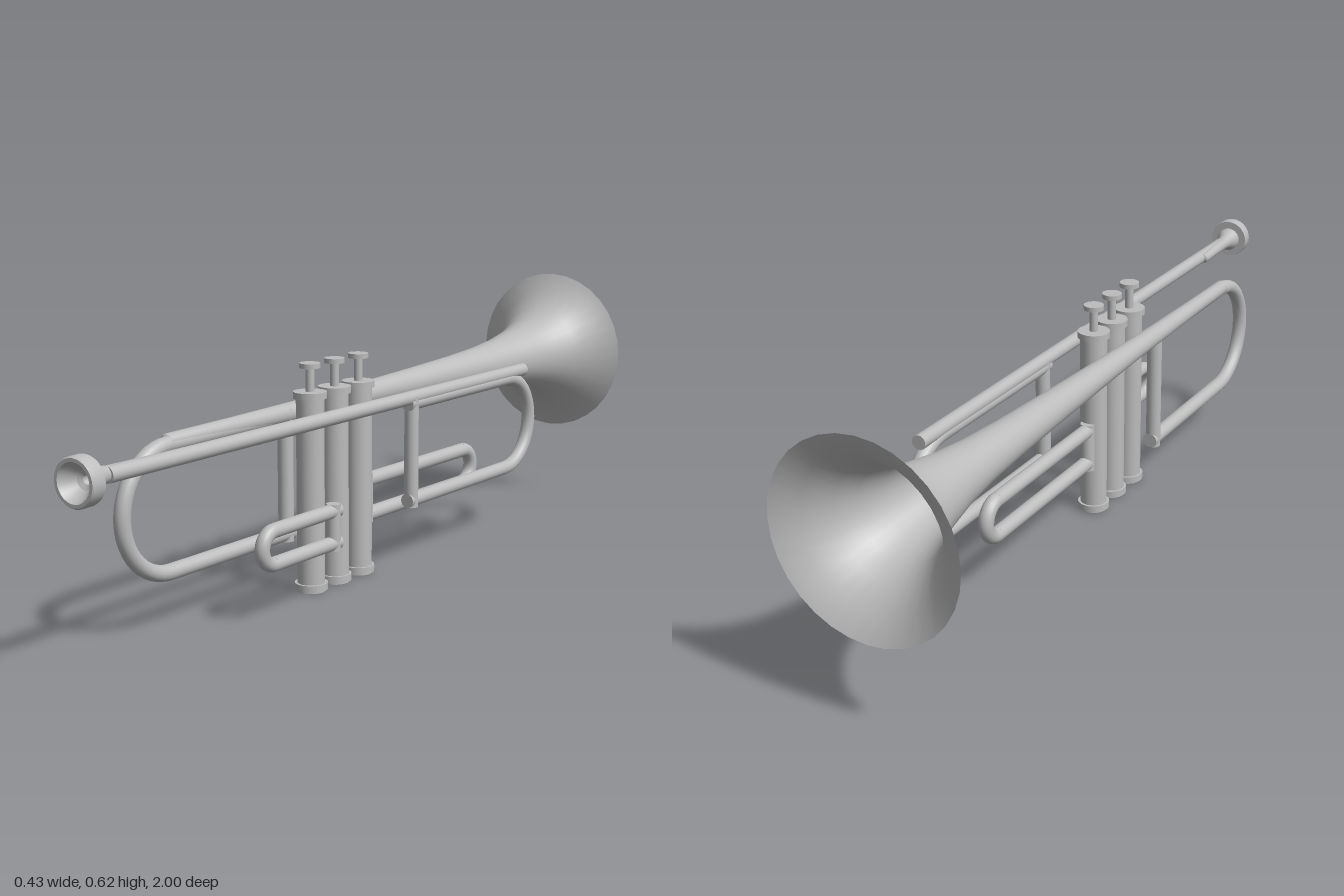
import * as THREE from 'three';

const silver = new THREE.MeshStandardMaterial({ color: 0xbcbcbc, side: THREE.DoubleSide });
silver.name = 'silver';

const TILT = -0.067; // the body is turned slightly about the vertical

function add(parent, name, geometry, x = 0, y = 0, z = 0) {
  const mesh = new THREE.Mesh(geometry, silver);
  mesh.name = name;
  mesh.position.set(x, y, z);
  parent.add(mesh);
  return mesh;
}

// straight tube along z
function tubeZ(parent, name, x, y, z0, z1, r) {
  const g = new THREE.CylinderGeometry(r, r, Math.abs(z1 - z0), 20).rotateX(Math.PI / 2);
  return add(parent, name, g, x, y, (z0 + z1) / 2);
}

// slide: two straight tubes, a half-round bend at one end, an upright at the other
function slide(parent, name, x, yLow, yHigh, zUpright, zBend, r) {
  const group = new THREE.Group();
  group.name = name;
  const mid = (yLow + yHigh) / 2, R = (yHigh - yLow) / 2;
  const dir = Math.sign(zBend - zUpright);
  for (const y of [yLow, yHigh]) tubeZ(group, 'slideTube', x, y, zUpright - dir * r, zBend, r);
  const bend = new THREE.TorusGeometry(R, r, 16, 24, Math.PI)
    .rotateZ(-Math.PI / 2).rotateY(-dir * Math.PI / 2);
  add(group, 'slideBend', bend, x, mid, zBend);
  add(group, 'slideUpright', new THREE.CylinderGeometry(r, r, 2 * (R + r), 20), x, mid, zUpright);
  parent.add(group);
}

// turned shape from [radius, height] pairs
function lathe(points, segments) {
  return new THREE.LatheGeometry(points.map(([r, h]) => new THREE.Vector2(r, h)), segments);
}

export function createModel() {
  const model = new THREE.Group();
  model.name = 'trumpet';
  const body = new THREE.Group();
  body.name = 'body';
  body.rotation.y = TILT;
  model.add(body);

  // bell, flaring towards the back
  const bell = lathe([
    [0, -0.6], [0.018, -0.6], [0.02, -0.4], [0.025, -0.1], [0.031, 0.1], [0.038, 0.3], [0.045, 0.47],
    [0.053, 0.6], [0.064, 0.7], [0.082, 0.8], [0.1, 0.86], [0.125, 0.905],
    [0.165, 0.955], [0.215, 0.984],
  ], 32).rotateX(-Math.PI / 2);
  add(body, 'bell', bell, -0.065, 0.403, 0);

  // lead pipe
  tubeZ(body, 'leadPipe', 0.077, 0.411, 0.91, -0.59, 0.0165);

  // tuning bends and valve slides
  slide(body, 'bellBow', -0.063, 0.125, 0.398, 0.215, 0.6, 0.018);
  slide(body, 'tuningSlide', 0.077, 0.164, 0.398, -0.084, -0.506, 0.017);
  slide(body, 'frontValveSlide', 0.083, 0.128, 0.202, 0.228, 0.437, 0.0165);
  slide(body, 'rearValveSlide', 0.005, 0.134, 0.218, 0.0, -0.414, 0.0175);

  // valves with caps, stems and finger buttons
  for (const z of [0.03, 0.12, 0.21]) {
    const valve = new THREE.Group();
    valve.name = 'valve';
    valve.position.set(0.005, 0, z);
    const parts = [
      ['bottomKnob', 0.033, 0, 0.005],
      ['bottomCap', 0.038, 0.004, 0.02],
      ['casing', 0.032, 0.02, 0.446],
      ['topCap', 0.038, 0.446, 0.461],
      ['stem', 0.01, 0.461, 0.515],
      ['button', 0.0235, 0.514, 0.525],
    ];
    for (const [name, r, y0, y1] of parts) {
      add(valve, name, new THREE.CylinderGeometry(r, r, y1 - y0, 24), 0, (y0 + y1) / 2, 0);
    }
    body.add(valve);
  }

  // mouthpiece: shank, throat, rim and hollow cup, in separately shaded pieces
  const mouthpiece = new THREE.Group();
  mouthpiece.name = 'mouthpiece';
  const profiles = {
    shank: [[0, 0.77], [0.012, 0.77], [0.016, 0.91]],
    throat: [[0.016, 0.91], [0.02, 0.935], [0.03, 0.955], [0.03, 0.966]],
    rimBack: [[0.03, 0.966], [0.049, 0.966]],
    rimSide: [[0.049, 0.966], [0.05, 0.97], [0.05, 0.996], [0.047, 1]],
    rimFace: [[0.047, 1], [0.04, 1]],
    cup: [[0.04, 1], [0.034, 0.985], [0.02, 0.968]],
    cupFloor: [[0.02, 0.968], [0.01, 0.962]],
    bore: [[0.01, 0.962], [0.01, 0.93], [0, 0.93]],
  };
  for (const [name, points] of Object.entries(profiles)) {
    add(mouthpiece, name, lathe(points, 28).rotateX(Math.PI / 2));
  }
  mouthpiece.position.set(0.011, 0.412, 0);
  model.add(mouthpiece);

  return model;
}
